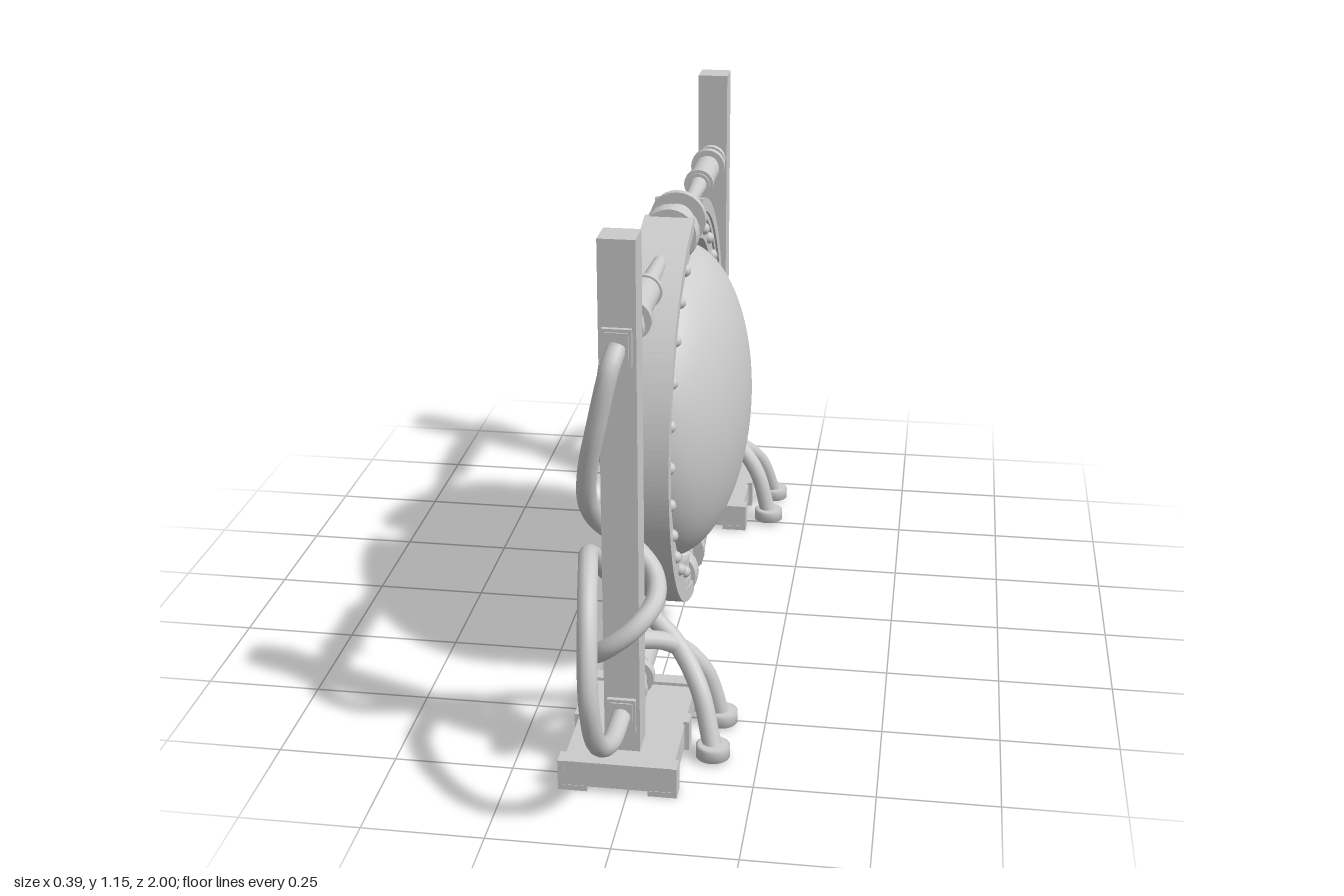
import * as THREE from 'three';

const mat = new THREE.MeshStandardMaterial({ color: 0xcccccc });
const CX = -0.02; // middle plane of the frame
const CY = 0.545; // height of the disc centre

function add(parent, name, geo, x = 0, y = 0, z = 0) {
  const m = new THREE.Mesh(geo, mat);
  m.name = name;
  m.position.set(x, y, z);
  parent.add(m);
  return m;
}
const box = (p, name, w, h, d, x, y, z) => add(p, name, new THREE.BoxGeometry(w, h, d), x, y, z);

// Cylinder lying along z from z0 to z1
function rod(p, name, r0, r1, z0, z1, y) {
  const geo = new THREE.CylinderGeometry(r1, r0, Math.abs(z1 - z0), 24);
  geo.rotateX(z1 > z0 ? Math.PI / 2 : -Math.PI / 2);
  return add(p, name, geo, CX, y, (z0 + z1) / 2);
}

// Curved bar around the disc, on the side given by s
function arcBar(p, name, r0, r1, width, gap, s) {
  const half = Math.PI / 2 - gap, mid = s > 0 ? 0 : Math.PI;
  const shape = new THREE.Shape();
  shape.absarc(0, 0, r1, mid - half, mid + half, false);
  shape.absarc(0, 0, r0, mid + half, mid - half, true);
  const geo = new THREE.ExtrudeGeometry(shape, { depth: width, bevelEnabled: false, curveSegments: 48 });
  geo.translate(0, 0, -width / 2);
  geo.rotateY(-Math.PI / 2);
  return add(p, name, geo, CX, CY, 0);
}

function hose(p, name, pts, s) {
  const curve = new THREE.CatmullRomCurve3(pts.map(([x, y, z]) => new THREE.Vector3(x, y, z * s)));
  add(p, name, new THREE.TubeGeometry(curve, 120, 0.02, 12), 0, 0, 0);
  // foot plug at the free end, open collar over a flat disc
  const [x, , z] = pts[pts.length - 1];
  const profile = [[0, 0.018], [0.022, 0.018], [0.025, 0.012], [0.036, 0.012], [0.036, 0.036], [0.03, 0.04], [0, 0.04]];
  add(p, name + 'Plug', new THREE.LatheGeometry(profile.map(q => new THREE.Vector2(...q)), 24), x, 0, z * s);
}

function createSide(s) {
  const g = new THREE.Group();
  g.name = s > 0 ? 'frontSupport' : 'backSupport';

  // Base slab with end bars and clips
  box(g, 'baseSlab', 0.225, 0.05, 0.34, CX, 0.04, 0.626 * s);
  for (const z of [0.458, 0.794]) box(g, 'baseEndBar', 0.235, 0.056, 0.034, CX, 0.044, z * s);
  for (const z of [0.458, 0.612, 0.794])
    for (const side of [-1, 1]) {
      box(g, 'baseClip', 0.012, 0.067, 0.036, CX + side * 0.116, 0.0385, z * s);
      box(g, 'baseClipFoot', 0.06, 0.012, 0.036, CX + side * 0.092, 0.011, z * s);
    }

  // Pillar
  box(g, 'pillar', 0.073, 1.1, 0.071, CX, 0.605, 0.708 * s);

  // Horizontal arms, with a socket on the outside of the pillar
  for (const y of [0.945, 0.15]) {
    box(g, 'socketPlate', 0.058, 0.075, 0.012, CX, y, 0.747 * s);
    box(g, 'socketInset', 0.046, 0.062, 0.008, CX, y, 0.752 * s);
    rod(g, 'armMount', 0.028, 0.028, 0.69 * s, 0.4 * s, y);
    rod(g, 'armFlange', 0.036, 0.036, 0.655 * s, 0.635 * s, y);
    rod(g, 'armFlange', 0.042, 0.042, 0.597 * s, 0.575 * s, y);
    rod(g, 'armSleeve', 0.032, 0.032, 0.555 * s, 0.42 * s, y);
    rod(g, 'armEndCap', 0.036, 0.036, 0.42 * s, 0.406 * s, y);
    rod(g, 'armRod', 0.021, 0.014, 0.41 * s, 0.21 * s, y);
  }

  // Half ring around the disc
  arcBar(g, 'ringRim', 0.434, 0.465, 0.11, 0.15, s);
  arcBar(g, 'ringStep', 0.42, 0.436, 0.1, 0.15, s);
  arcBar(g, 'ringFlange', 0.373, 0.422, 0.09, 0.15, s);

  // Rivets on both faces of the ring
  const rivet = new THREE.SphereGeometry(0.014, 12, 8);
  for (let i = -5; i <= 5; i++) {
    const a = i * 0.232;
    for (const side of [-1, 1])
      add(g, 'rivet', rivet, CX + side * 0.046, CY + 0.397 * Math.sin(a), 0.397 * Math.cos(a) * s);
  }

  // End discs that close the half ring above and below
  for (const v of [-1, 1]) {
    const y = CY + v * 0.416;
    rod(g, 'endDisc', 0.06, 0.064, 0.078 * s, 0.068 * s, y);
    rod(g, 'endDiscRim', 0.064, 0.064, 0.068 * s, 0.046 * s, y);
    const knob = add(g, 'endKnob', new THREE.SphereGeometry(0.038, 20, 12), CX, y, 0.046 * s);
    knob.scale.z = 0.55;
  }

  // Hose coiling down round the pillar
  hose(g, 'upperHose', [
    [-0.02, 0.945, 0.745], [-0.03, 0.91, 0.777], [-0.055, 0.8, 0.783], [-0.077, 0.7, 0.765],
    [-0.085, 0.61, 0.728], [-0.07, 0.54, 0.67], [-0.02, 0.485, 0.635], [0.035, 0.435, 0.665],
    [0.045, 0.4, 0.72], [0.01, 0.36, 0.768], [-0.045, 0.315, 0.775], [-0.082, 0.275, 0.73],
    [-0.065, 0.245, 0.655], [-0.01, 0.24, 0.595], [0.06, 0.21, 0.55], [0.12, 0.14, 0.525], [0.155, 0.025, 0.513],
  ], s);

  // Hose making the wide outer loop
  hose(g, 'lowerHose', [
    [-0.02, 0.15, 0.745], [-0.025, 0.148, 0.85], [-0.035, 0.205, 0.945], [-0.042, 0.32, 0.98],
    [-0.052, 0.45, 0.925], [-0.067, 0.518, 0.83], [-0.082, 0.505, 0.74], [-0.075, 0.44, 0.655],
    [-0.045, 0.355, 0.58], [0, 0.275, 0.537], [0.06, 0.215, 0.545], [0.12, 0.14, 0.605], [0.155, 0.025, 0.652],
  ], s);
  return g;
}

export function createModel() {
  const model = new THREE.Group();
  model.name = 'suspendedDisc';

  // Flattened central disc
  const disc = add(model, 'disc', new THREE.SphereGeometry(0.365, 64, 40), CX, CY, 0);
  disc.scale.x = 0.175 / 0.365;

  for (const s of [1, -1]) model.add(createSide(s));
  return model;
}
